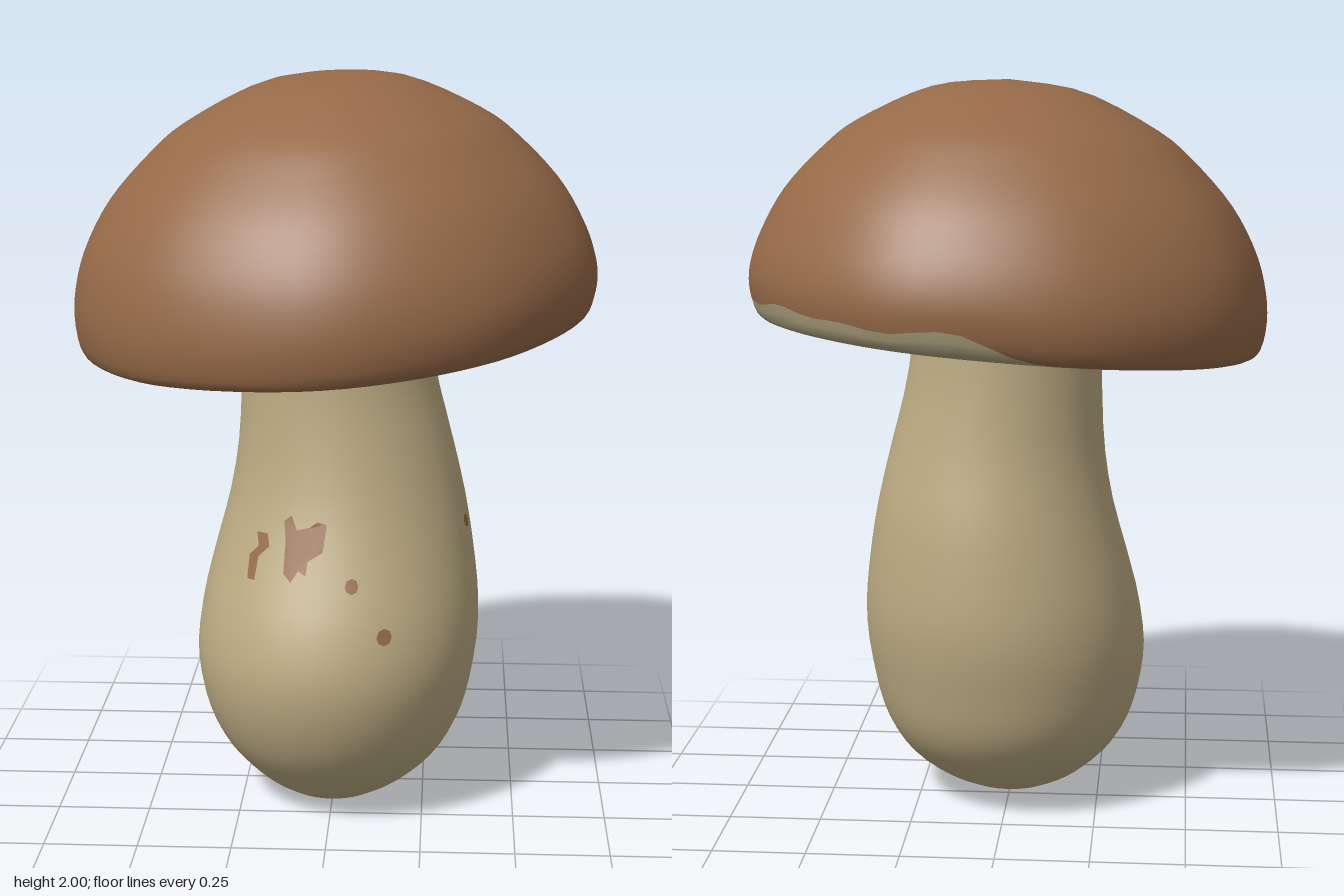
import * as THREE from 'three';

const flat = (name, color) => {
  const m = new THREE.MeshStandardMaterial({ color });
  m.name = name;
  return m;
};

// Smooth closed tube of rings; place(t, angle) gives each point, t from 0 to 1
function loft(rings, segments, place) {
  const points = [], index = [];
  for (let i = 0; i <= rings; i++) {
    for (let j = 0; j < segments; j++) {
      points.push(place(i / rings, (j / segments) * Math.PI * 2));
    }
  }
  for (let i = 0; i < rings; i++) {
    for (let j = 0; j < segments; j++) {
      const k = (j + 1) % segments;
      const a = i * segments + j, b = a + segments;
      const c = i * segments + k, d = c + segments;
      index.push(a, b, c, b, d, c);
    }
  }
  const g = new THREE.BufferGeometry().setFromPoints(points);
  g.setIndex(index);
  g.computeVertexNormals();
  return g;
}

// Stem outline: height, then left/right (x) and back/front (z) limits
const STEM = [
  [0, 0, 0, 0.09, 0.09],
  [0.01, -0.08, 0.08, 0.01, 0.17],
  [0.03, -0.14, 0.14, -0.05, 0.22],
  [0.1, -0.24, 0.25, -0.17, 0.31],
  [0.2, -0.32, 0.33, -0.27, 0.39],
  [0.4, -0.375, 0.39, -0.335, 0.45],
  [0.55, -0.365, 0.4, -0.355, 0.425],
  [0.7, -0.33, 0.385, -0.345, 0.365],
  [0.85, -0.29, 0.36, -0.325, 0.31],
  [1, -0.265, 0.325, -0.295, 0.275],
  [1.2, -0.255, 0.275, -0.275, 0.247],
  [1.4, -0.25, 0.25, -0.27, 0.245],
];
const stemLimits = new THREE.CubicInterpolant(
  STEM.map((r) => r[0]), STEM.flatMap((r) => r.slice(1)), 4, new Array(4));
function stemAt(y) {
  const [x0, x1, z0, z1] = stemLimits.evaluate(y);
  return { cx: (x0 + x1) / 2, rx: (x1 - x0) / 2, cz: (z0 + z1) / 2, rz: (z1 - z0) / 2 };
}

// Cap outline (radius, height) from the rim up to the crown
const CAP = new THREE.SplineCurve([
  [0.645, 1.312], [0.682, 1.33], [0.7, 1.4], [0.695, 1.48], [0.665, 1.575],
  [0.6, 1.69], [0.5, 1.8], [0.4, 1.88], [0.2, 1.975], [0, 2],
].map(([r, y]) => new THREE.Vector2(r, y)));

// Places a cap point; the cap leans, most strongly at its rim
function capPoint(r, y, a) {
  const wobble = 1 + 0.005 * Math.sin(5 * a + 1) + 0.003 * Math.sin(9 * a);
  const x = r * wobble * Math.cos(a), z = r * wobble * 1.025 * Math.sin(a);
  const lean = 1 - 0.5 * THREE.MathUtils.smoothstep(y, 1.32, 1.6);
  return new THREE.Vector3(x, y + (0.08 * x - 0.05 * z) * lean, z);
}

// Where brown skin ends: it pulls back on the back left part of the rim
function skinEdge(a) {
  const off = Math.abs(Math.atan2(Math.sin(a + 0.8), Math.cos(a + 0.8)));
  const bare = 1 - THREE.MathUtils.smoothstep(off, 0.65, 1.05);
  return 0.035 + 0.012 * Math.sin(7 * a) + bare * (0.15 + 0.008 * Math.sin(17 * a));
}

// Spot outlines drawn flat, then wrapped onto the stem
function spot(points, side) {
  const g = new THREE.ShapeGeometry(new THREE.Shape(points.map(([u, v]) => new THREE.Vector2(u, v))));
  const p = g.attributes.position;
  for (let i = 0; i < p.count; i++) {
    const u = p.getX(i), y = p.getY(i), s = stemAt(y);
    if (side) {
      const z = -u;
      p.setXYZ(i, s.cx + s.rx * Math.sqrt(1 - ((z - s.cz) / s.rz) ** 2) + 0.006, y, z);
    } else {
      p.setZ(i, s.cz + s.rz * Math.sqrt(1 - ((u - s.cx) / s.rx) ** 2) + 0.006);
    }
  }
  g.computeVertexNormals();
  return g;
}
const dot = (u, v, r) => Array.from({ length: 8 }, (_, i) => [
  u + r * Math.cos((i * Math.PI) / 4), v + r * 1.1 * Math.sin((i * Math.PI) / 4)]);

export function createModel() {
  const brown = flat('cap brown', 0x966a48);
  const cream = flat('stem cream', 0xbcab82);
  const pale = flat('pore cream', 0xaea280);
  const model = new THREE.Group();
  model.name = 'mushroom';
  const add = (name, geometry, material) => {
    const mesh = new THREE.Mesh(geometry, material);
    mesh.name = name;
    model.add(mesh);
  };

  // Swollen, slightly bent stem
  add('stem', loft(32, 48, (t, a) => {
    const y = 1.4 * t * t, s = stemAt(y);
    return new THREE.Vector3(s.cx + s.rx * Math.cos(a), y, s.cz + s.rz * Math.sin(a));
  }), cream);

  // Underside, bare lip and brown skin of the cap
  add('capUnderside', loft(8, 72, (t, a) =>
    capPoint(0.15 + 0.495 * t, 1.355 - 0.043 * t * t, a)), pale);
  add('capLip', loft(5, 72, (t, a) => {
    const p = CAP.getPoint(t * skinEdge(a));
    return capPoint(p.x, p.y, a);
  }), pale);
  add('capSkin', loft(30, 72, (t, a) => {
    const p = CAP.getPoint(THREE.MathUtils.lerp(skinEdge(a), 1, t));
    return capPoint(p.x, p.y, a);
  }), brown);

  // Brown spots on the stem
  add('largeSpot', spot([
    [-0.1, 0.69], [-0.08, 0.72], [-0.06, 0.71], [-0.055, 0.745], [-0.015, 0.77], [-0.005, 0.84],
    [-0.03, 0.845], [-0.05, 0.83], [-0.085, 0.82], [-0.1, 0.855], [-0.12, 0.84],
    [-0.115, 0.79], [-0.12, 0.71],
  ]), brown);
  add('longSpot', spot([
    [-0.22, 0.68], [-0.2, 0.68], [-0.19, 0.74], [-0.16, 0.77], [-0.165, 0.8],
    [-0.195, 0.8], [-0.19, 0.765], [-0.215, 0.74],
  ]), brown);
  add('smallSpot', spot(dot(0.063, 0.688, 0.018)), brown);
  add('lowSpot', spot(dot(0.15, 0.56, 0.02)), brown);
  add('sideSpot', spot(dot(-0.09, 0.795, 0.017), true), brown);
  return model;
}
